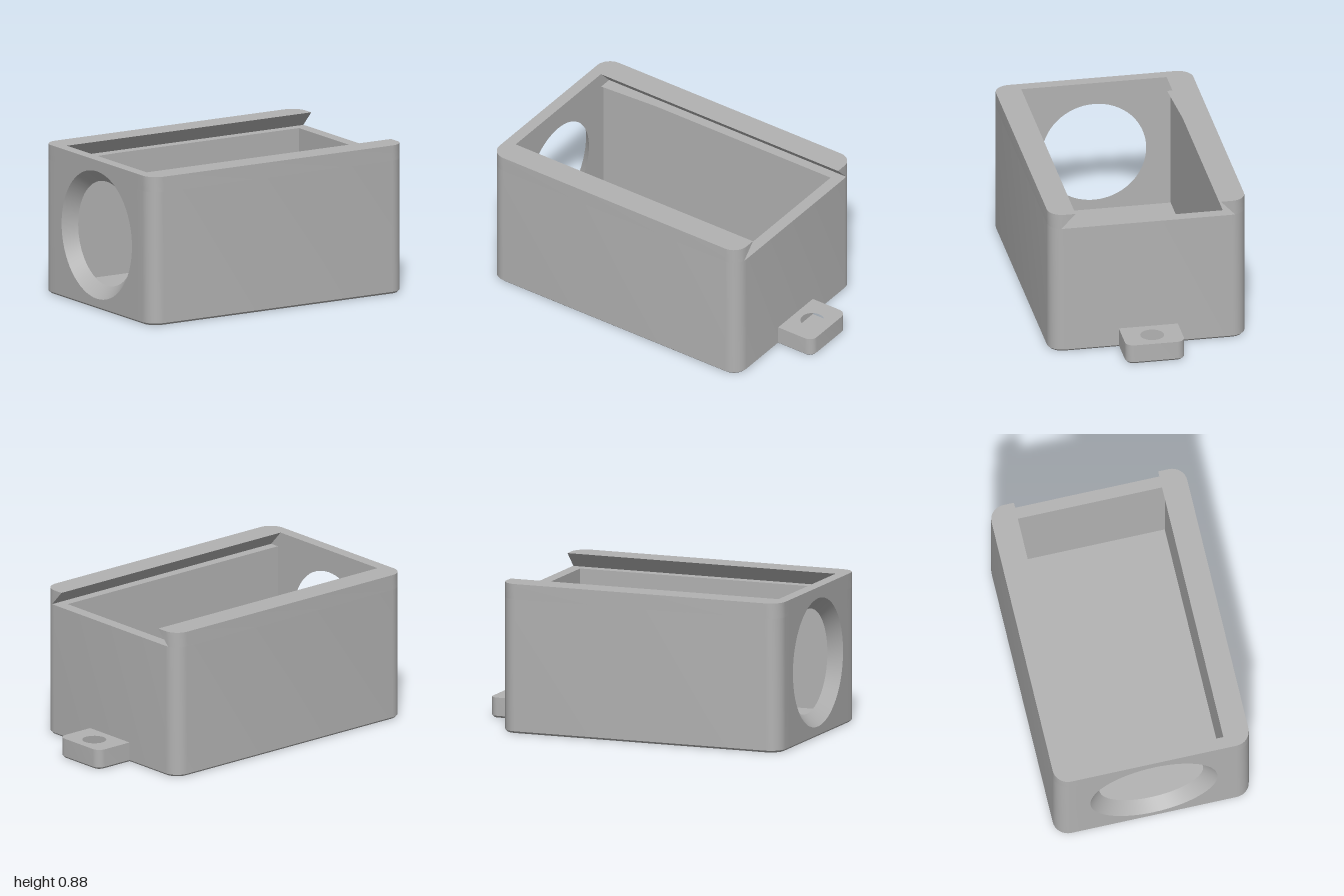
import * as THREE from 'three';
import { toCreasedNormals } from 'three/addons/utils/BufferGeometryUtils.js';

const X0 = -1, X1 = 0.76, Z = 0.585, R = 0.09;        // body footprint
const IN0 = -0.93, IN1 = 0.69, INZ = 0.455;           // cavity
const TOP = 0.885, LEDGE = 0.795, FLOOR = 0.07, CH = 0.012;
const SLOT = 0.43, UNDER = 0.515;                     // slot half width: top, bottom
const PORT_Y = 0.44, PORT_OUT = 0.38, PORT_IN = 0.31;
const TAB_X = 0.88, TAB_Z = 0.175, TAB_R = 0.05;

// Quarter arc as [x, z] points, starting at the given quarter turn
function arc(cx, cz, r, quarter, n = 8) {
  return Array.from({ length: n + 1 }, (_, i) => {
    const a = (quarter + i / n) * Math.PI / 2;
    return [cx + r * Math.cos(a), cz + r * Math.sin(a)];
  });
}

const mirrored = (half) => [...half, ...half.map(([x, z]) => [x, -z]).reverse()];

// Upright extrusion of a floor plan, from y0 to y1; move() may shift bottom vertices
function extrudePlan(points, y0, y1, { hole, move } = {}) {
  const shape = new THREE.Shape(points.map(([x, z]) => new THREE.Vector2(x, -z)));
  if (hole) shape.holes.push(new THREE.Path().absarc(hole.x, 0, hole.r, 0, Math.PI * 2, true));
  const g = new THREE.ExtrudeGeometry(shape, { depth: y1 - y0, bevelEnabled: false, curveSegments: 16 });
  g.rotateX(-Math.PI / 2).translate(0, y0, 0);
  const p = g.attributes.position;
  if (move) {
    for (let i = 0; i < p.count; i++) {
      if (p.getY(i) > (y0 + y1) / 2) continue;
      const [x, z] = move(p.getX(i), p.getZ(i));
      p.setXYZ(i, x, y0, z);
    }
  }
  return toCreasedNormals(g, 0.5);
}

const bodyArcs = (i = 0) => [
  ...arc(X1 - R, Z - R, R - i, 0),
  ...arc(X0 + R, Z - R, R - i, 1),
];
const tabArc = (i = 0) => arc(1 - TAB_R, TAB_Z - TAB_R, TAB_R - i, 0);

// Outline of body and tab together, shrunk by i
const footprint = (i) => mirrored([...tabArc(i), [X1 - i, TAB_Z - i], ...bodyArcs(i)]);

export function createModel() {
  const group = new THREE.Group();
  const grey = new THREE.MeshStandardMaterial({ color: 0xb2b2b2 });
  grey.name = 'grey';
  const add = (name, geometry) => {
    const mesh = new THREE.Mesh(geometry, grey);
    mesh.name = name;
    group.add(mesh);
    return mesh;
  };

  // Chamfered underside: bottom corners snap to the inset outline
  const outer = footprint(0), inset = footprint(CH);
  add('base', extrudePlan(outer, 0, CH, {
    hole: { x: TAB_X, r: 0.07 },
    move: (x, z) => {
      const k = outer.findIndex(([a, b]) => Math.hypot(a - x, b - z) < 1e-4);
      return k < 0 ? [x, z] : inset[k];
    },
  }));

  // Mounting tab with its screw hole
  add('mountingTab', extrudePlan(mirrored([...tabArc(), [X1 - 0.01, TAB_Z]]), CH, 0.12, {
    hole: { x: TAB_X, r: 0.07 },
  }));

  // Floor of the cavity
  add('floor', new THREE.BoxGeometry(IN1 - IN0, FLOOR - CH, INZ * 2))
    .position.set((IN0 + IN1) / 2, (FLOOR + CH) / 2, 0);

  // Front, right and back walls up to the ledge
  add('walls', extrudePlan(mirrored([
    ...bodyArcs(), [X0, SLOT], [IN0, SLOT], [IN0, INZ], [IN1, INZ],
  ]), CH, LEDGE));

  // Undercut rails that hold a sliding lid
  const lip = SLOT + 0.001;
  for (const s of [1, -1]) {
    const plan = [...bodyArcs(), [X0, SLOT], [IN0, SLOT], [IN0, lip], [X1, lip]];
    add(s > 0 ? 'frontRail' : 'backRail', extrudePlan(plan.map(([x, z]) => [x, z * s]), LEDGE, TOP, {
      move: (x, z) => {
        const a = Math.abs(z);
        if (x < IN0 - 0.01 || a < SLOT + 0.0005 || a > UNDER) return [x, z];
        return [x > 0 ? X1 - 0.002 : x, UNDER * s];
      },
    }));
  }

  // End wall with a round port
  const wall = new THREE.Shape([
    [-SLOT, CH], [SLOT, CH], [SLOT, TOP], [-SLOT, TOP],
  ].map(([a, b]) => new THREE.Vector2(a, b)));
  wall.holes.push(new THREE.Path().absarc(0, PORT_Y, PORT_OUT, 0, Math.PI * 2, true));
  const wallGeo = new THREE.ExtrudeGeometry(wall, { depth: IN0 - X0, bevelEnabled: false, curveSegments: 32 });
  wallGeo.rotateY(-Math.PI / 2).translate(IN0, 0, 0);
  add('endWall', toCreasedNormals(wallGeo, 0.5));

  // Conical rim narrowing the port inwards
  const rim = new THREE.LatheGeometry([
    new THREE.Vector2(PORT_OUT, -X0),
    new THREE.Vector2(PORT_IN, -IN0),
    new THREE.Vector2(PORT_OUT, -IN0),
  ], 64);
  rim.rotateZ(Math.PI / 2).translate(0, PORT_Y, 0);
  add('portRim', toCreasedNormals(rim, 0.5));

  return group;
}
